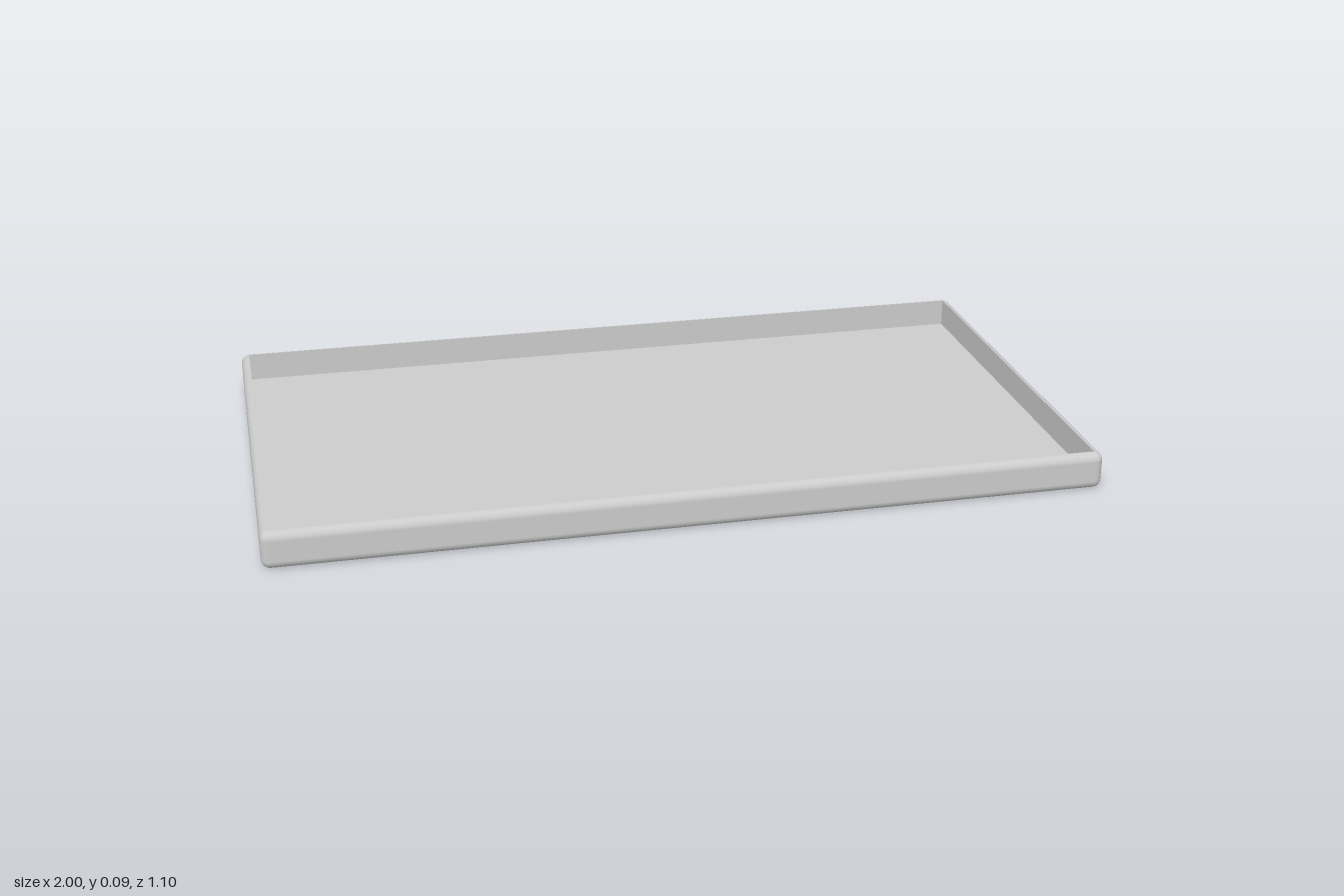
import * as THREE from 'three';

const W = 2, H = 0.092, D = 1.104; // outer size
const R = 0.021;                   // edge radius, equal to the wall thickness
const FLOOR = 0.021;               // height of the inner floor
const SEG = 6;                     // segments per quarter round

// Outer skin: rounded rectangles stacked from the underside to the rim
function shellGeometry() {
  const pos = [], nor = [], idx = [];
  const cols = 4 * (SEG + 1), rows = 2 * (SEG + 1);
  for (let j = 0; j < rows; j++) {
    const upper = j > SEG;
    const lat = ((upper ? j - 1 : j) / SEG - 1) * Math.PI / 2;
    const cy = upper ? H - R : R;
    for (let i = 0; i < cols; i++) {
      const corner = Math.floor(i / (SEG + 1));
      const a = (corner + (i % (SEG + 1)) / SEG) * Math.PI / 2;
      const sx = corner === 0 || corner === 3 ? 1 : -1;
      const sz = corner < 2 ? 1 : -1;
      const n = [Math.cos(a) * Math.cos(lat), Math.sin(lat), Math.sin(a) * Math.cos(lat)];
      pos.push(sx * (W / 2 - R) + R * n[0], cy + R * n[1], sz * (D / 2 - R) + R * n[2]);
      nor.push(...n);
      if (j < rows - 1) {
        const p = j * cols + i, q = j * cols + (i + 1) % cols;
        idx.push(p, p + cols, q, q, p + cols, q + cols);
      }
    }
  }
  const g = new THREE.BufferGeometry();
  g.setAttribute('position', new THREE.Float32BufferAttribute(pos, 3));
  g.setAttribute('normal', new THREE.Float32BufferAttribute(nor, 3));
  g.setIndex(idx);
  return g;
}

export function createModel() {
  const tray = new THREE.Group();
  tray.name = 'tray';
  const mat = new THREE.MeshStandardMaterial({ color: 0xcccccc });
  const iw = W - 2 * R, id = D - 2 * R, ih = H - FLOOR;

  function add(name, geometry, x = 0, y = 0, z = 0, rx = 0, ry = 0) {
    const m = new THREE.Mesh(geometry, mat);
    m.name = name;
    m.position.set(x, y, z);
    m.rotation.set(rx, ry, 0);
    tray.add(m);
  }

  add('outerShell', shellGeometry());
  add('underside', new THREE.PlaneGeometry(iw, id), 0, 0, 0, Math.PI / 2);
  add('floor', new THREE.PlaneGeometry(iw, id), 0, FLOOR, 0, -Math.PI / 2);

  // Inner walls face the middle of the tray
  const y = FLOOR + ih / 2;
  for (const [s, side, end] of [[1, 'left', 'front'], [-1, 'right', 'back']]) {
    add(side + 'InnerWall', new THREE.PlaneGeometry(id, ih), s * iw / 2, y, 0, 0, -s * Math.PI / 2);
    add(end + 'InnerWall', new THREE.PlaneGeometry(iw, ih), 0, y, s * id / 2, 0, s > 0 ? Math.PI : 0);
  }
  return tray;
}
